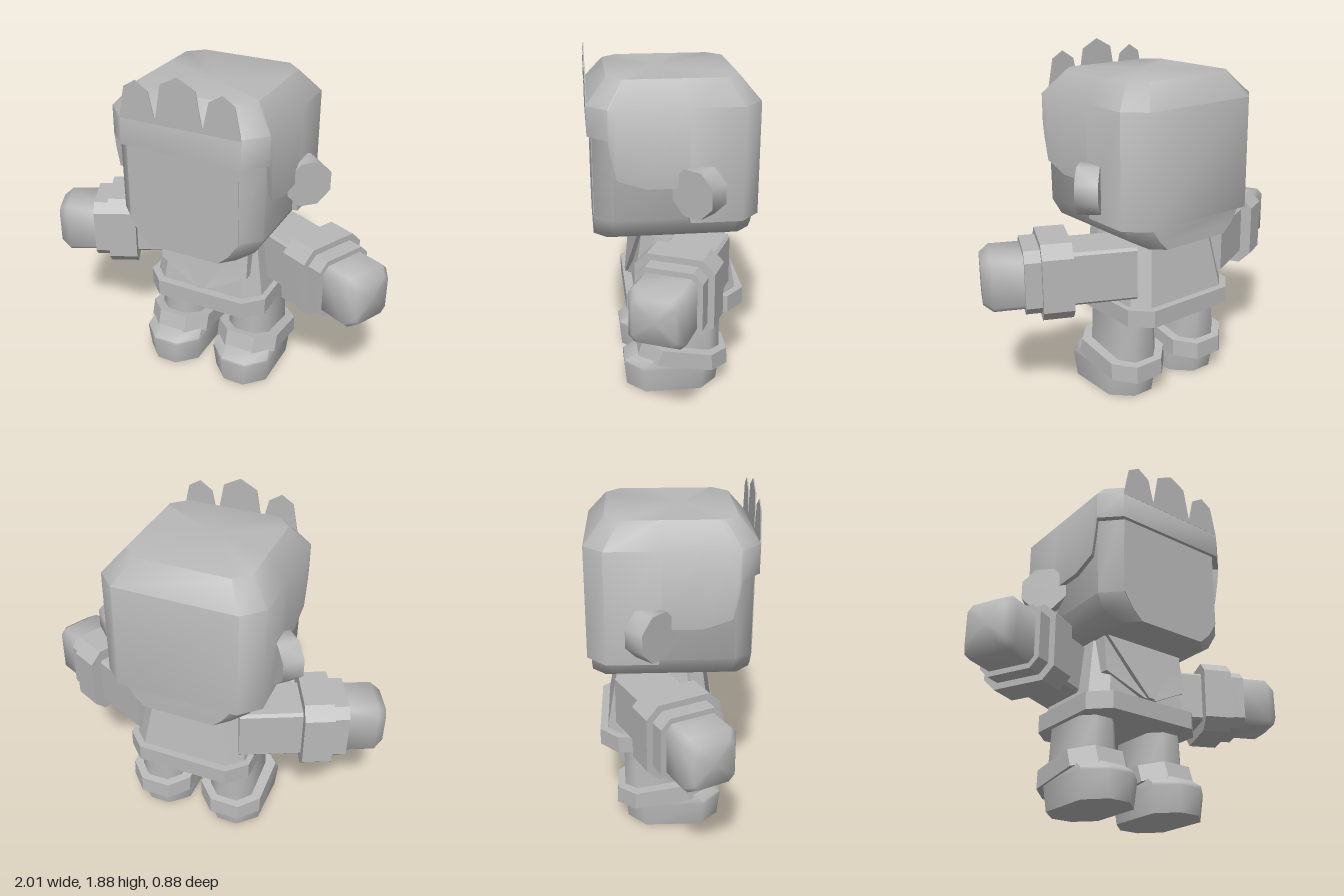
import * as THREE from 'three';
import { toCreasedNormals } from 'three/addons/utils/BufferGeometryUtils.js';

const grey = new THREE.MeshStandardMaterial({ color: 0xb8b8b8 });
grey.name = 'plain grey';

function add(parent, name, geometry) {
  const mesh = new THREE.Mesh(geometry, grey);
  mesh.name = name;
  parent.add(mesh);
  return mesh;
}

// Skin a stack of equal-length rings, bottom to top, running from +z towards +x
function skin(rings, crease, capBottom = true) {
  const pos = [];
  const tri = (...pts) => pts.forEach((p) => pos.push(p.x, p.y, p.z));
  const n = rings[0].length;
  const centre = (r) => r.reduce((s, p) => s.add(p), new THREE.Vector3()).divideScalar(n);
  const low = rings[0], top = rings[rings.length - 1];
  const cLow = centre(low), cTop = centre(top);
  for (let i = 0; i < n; i++) {
    const j = (i + 1) % n;
    for (let k = 0; k + 1 < rings.length; k++) {
      const a = rings[k], b = rings[k + 1];
      tri(a[i], a[j], b[j], a[i], b[j], b[i]);
    }
    tri(cTop, top[i], top[j]);
    if (capBottom) tri(cLow, low[j], low[i]);
  }
  const g = new THREE.BufferGeometry();
  g.setAttribute('position', new THREE.Float32BufferAttribute(pos, 3));
  return toCreasedNormals(g, THREE.MathUtils.degToRad(crease));
}

// Chamfered rectangle ring: height, half width, back z, front z, chamfer, rise per z
function ring([y, w, zb, zf, c, slope = 0]) {
  return [
    [w - c, zf], [w, zf - c], [w, zb + c], [w - c, zb],
    [c - w, zb], [-w, zb + c], [-w, zf - c], [c - w, zf],
  ].map(([x, z]) => new THREE.Vector3(x, y + slope * z, z));
}
const loft = (rows, crease = 35) => skin(rows.map(ring), crease);

function plate(points, depth) {
  const shape = new THREE.Shape(points.map(([x, y]) => new THREE.Vector2(x, y)));
  return new THREE.ExtrudeGeometry(shape, { depth, bevelEnabled: false });
}

function hairGeometry() {
  // Half outline with the height of the lower edge: x, z, y
  const half = [
    [0.335, 0.44, 1.475], [0.44, 0.34, 1.475], [0.44, 0.33, 1.4], [0.44, 0.3, 1.27],
    [0.44, 0.15, 1.22], [0.44, -0.05, 1.22], [0.44, -0.07, 1.03],
    [0.44, -0.34, 1.03], [0.335, -0.44, 1.03],
  ];
  const edge = [...half, ...half.map(([x, z, y]) => [-x, z, y]).reverse()];
  const at = (s, f) => edge.map(([x, z, y]) => new THREE.Vector3(x * s, f(y), z * s));
  return skin([at(0.93, (y) => y), at(1, (y) => y), at(1, () => 1.63), at(0.762, () => 1.755)], 50, false);
}

function buildHead() {
  const head = new THREE.Group();
  head.name = 'head';
  add(head, 'skull', loft([
    [0.9, 0.27, -0.42, 0.418, 0.07], [0.95, 0.36, -0.42, 0.418, 0.11],
    [1.04, 0.41, -0.42, 0.418, 0.1], [1.6, 0.42, -0.42, 0.418, 0.105],
  ], 50));
  // Flat face panel
  add(head, 'face', plate([
    [-0.2, 0.9], [0.2, 0.9], [0.26, 0.955], [0.315, 1.04], [0.315, 1.5], [-0.315, 1.5], [-0.315, 1.04], [-0.26, 0.955],
  ], 0.004)).position.z = 0.416;
  add(head, 'hair', hairGeometry());
  // Three-pointed flat fringe
  add(head, 'fringe', plate([
    [-0.335, 1.62], [0.335, 1.62], [0.3, 1.79], [0.235, 1.83], [0.165, 1.785], [0.13, 1.635],
    [0.095, 1.83], [0, 1.88], [-0.095, 1.83], [-0.13, 1.635], [-0.165, 1.785], [-0.235, 1.83], [-0.3, 1.79],
  ], 0.006)).position.z = 0.435;
  // Octagonal ears turned towards the front corners
  for (const s of [1, -1]) {
    const g = new THREE.CylinderGeometry(0.134, 0.134, 0.12, 8);
    g.rotateY(Math.PI / 8).rotateX(Math.PI / 2);
    const ear = add(head, s > 0 ? 'leftEar' : 'rightEar', toCreasedNormals(g, 0.9));
    ear.position.set(0.458 * s, 1.205, -0.11);
    ear.rotation.y = s * Math.PI / 4;
  }
  return head;
}

function buildTorso() {
  const torso = new THREE.Group();
  torso.name = 'torso';
  add(torso, 'shirt', loft([[0.55, 0.33, -0.35, 0.21, 0.08], [0.92, 0.265, -0.285, 0.15, 0.07]]));
  add(torso, 'belt', loft([[0.465, 0.36, -0.39, 0.255, 0.1], [0.56, 0.36, -0.39, 0.255, 0.1]]));
  // Pointed neckerchief
  const v = (x, y, z) => new THREE.Vector3(x, y, z);
  add(torso, 'neckerchief', skin([
    [v(0.04, 0.58, 0.23), v(0.04, 0.58, 0.18), v(-0.04, 0.58, 0.18), v(-0.04, 0.58, 0.23)],
    [v(0.265, 0.69, 0.2), v(0.265, 0.69, 0.1), v(-0.265, 0.69, 0.1), v(-0.265, 0.69, 0.2)],
    [v(0.26, 0.9, 0.17), v(0.26, 0.9, 0.08), v(-0.26, 0.9, 0.08), v(-0.26, 0.9, 0.17)],
  ], 20));
  add(torso, 'neckerchiefKnot', skin([
    [v(0.02, 0.58, 0.245), v(0.02, 0.58, 0.2), v(-0.02, 0.58, 0.2), v(-0.02, 0.58, 0.245)],
    [v(0.25, 0.9, 0.19), v(0.25, 0.9, 0.15), v(-0.25, 0.9, 0.15), v(-0.25, 0.9, 0.19)],
  ], 20));
  return torso;
}

// Arm built along its length, then laid sideways and swung forwards
function buildArm(s) {
  const arm = new THREE.Group();
  arm.name = s > 0 ? 'leftArm' : 'rightArm';
  const tube = (name, from, to, h, w, c) =>
    add(arm, name, loft([[from, h, -w, w, c], [to, h, -w, w, c]]));
  tube('sleeve', -0.42, -0.06, 0.145, 0.145, 0.015);
  tube('wideCuff', -0.08, 0.08, 0.207, 0.207, 0.065);
  tube('narrowCuff', 0.07, 0.165, 0.173, 0.173, 0.05);
  add(arm, 'fist', loft([
    [0.15, 0.145, -0.145, 0.145, 0.03], [0.325, 0.145, -0.145, 0.145, 0.03],
    [0.375, 0.115, -0.11, 0.11, 0.03],
  ], 60));
  arm.position.set(0.62 * s, 0.755, 0.01);
  arm.rotation.set(0, s > 0 ? -0.445 : Math.PI + 0.445, -Math.PI / 2);
  return arm;
}

function buildLeg(s) {
  const leg = new THREE.Group();
  leg.name = s > 0 ? 'leftLeg' : 'rightLeg';
  add(leg, 'trouser', loft([[0.15, 0.135, -0.26, 0.125, 0.07], [0.5, 0.108, -0.26, 0.125, 0.06]], 50));
  // Boot top dips towards the heel
  add(leg, 'bootCuff', loft([
    [0.16, 0.185, -0.305, 0.2, 0.1, 0.16], [0.257, 0.185, -0.3, 0.17, 0.1, 0.165],
  ]));
  add(leg, 'boot', loft([
    [0, 0.16, -0.245, 0.262, 0.1], [0.14, 0.173, -0.26, 0.275, 0.1], [0.155, 0.172, -0.26, 0.272, 0.1],
    [0.2, 0.16, -0.25, 0.2, 0.09],
  ], 50));
  leg.position.x = 0.222 * s;
  return leg;
}

export function createModel() {
  const model = new THREE.Group();
  model.name = 'blockyFigure';
  model.add(buildHead(), buildTorso());
  for (const s of [1, -1]) model.add(buildArm(s), buildLeg(s));
  return model;
}
